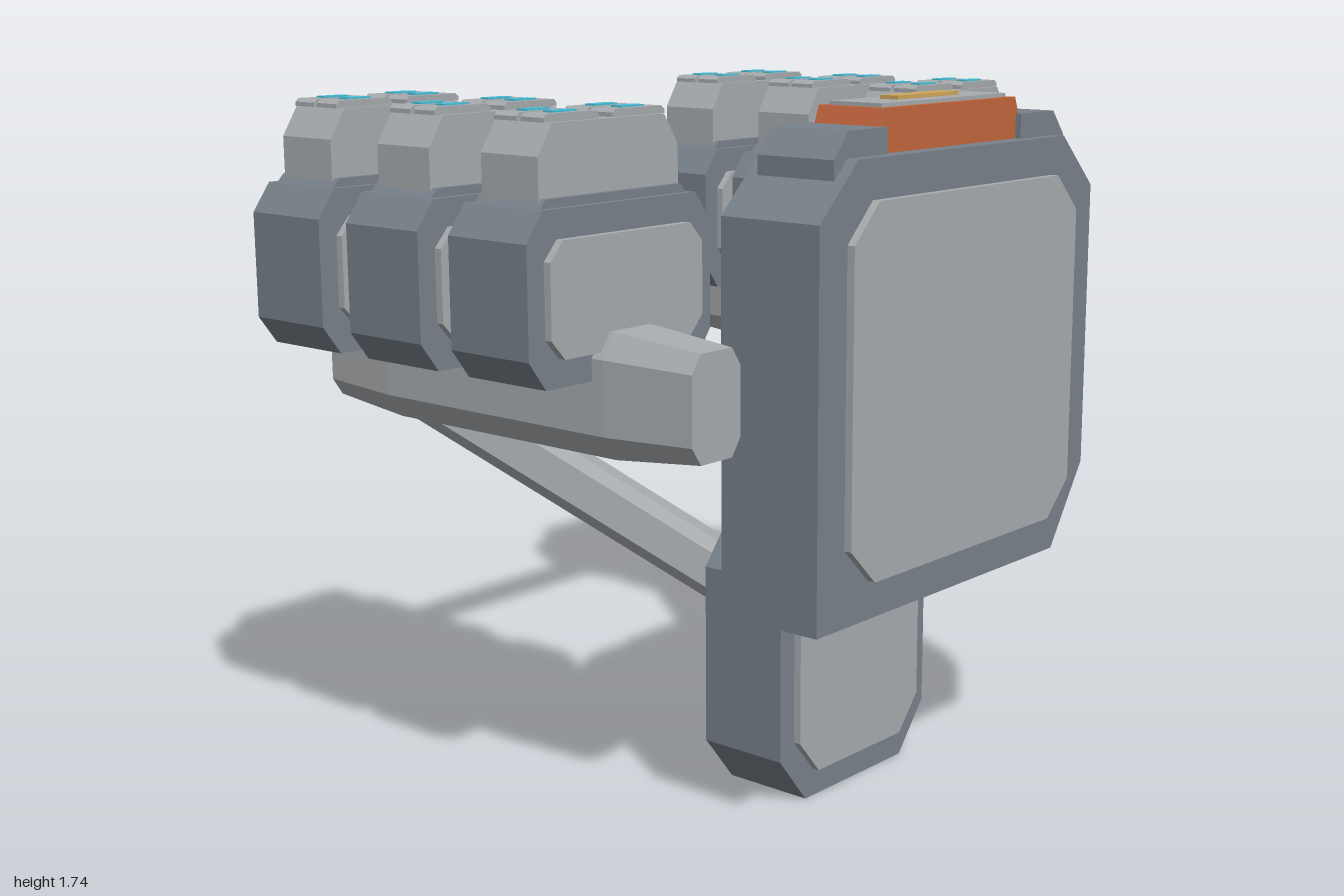
import * as THREE from 'three';

const mat = (name, color) => {
  const m = new THREE.MeshStandardMaterial({ color });
  m.name = name;
  return m;
};
const hull = mat('slate hull', 0x79828b);
const plate = mat('light grey plate', 0xa9adb0);
const orange = mat('burnt orange', 0xc4673d);
const cyan = mat('cyan light', 0x48bfd8);
const gold = mat('gold hatch', 0xd0a85c);

const CX = -0.025; // symmetry plane of the structure

// Outline with corner cuts [dx, dy] in the order top left, top right, bottom right, bottom left
function outline(x0, x1, y0, y1, [tl, tr, br, bl]) {
  const pts = [
    [x0 + bl[0], y0], [x1 - br[0], y0], [x1, y0 + br[1]], [x1, y1 - tr[1]],
    [x1 - tr[0], y1], [x0 + tl[0], y1], [x0, y1 - tl[1]], [x0, y0 + bl[1]],
  ];
  const out = pts.filter((p, i) => {
    const q = pts[(i + 1) % 8];
    return Math.hypot(p[0] - q[0], p[1] - q[1]) > 1e-5;
  });
  return new THREE.Shape(out.map(p => new THREE.Vector2(...p)));
}
const all = (cx, cy) => Array(4).fill([cx, cy]);
const topCut = (cx, cy) => [[cx, cy], [cx, cy], [0, 0], [0, 0]];
const rightCut = (cx, cy) => [[0, 0], [cx, cy], [cx, cy], [0, 0]];

// Prism with a cut outline, running along z
function prism(parent, name, material, x0, x1, y0, y1, z0, z1, cuts = all(0, 0)) {
  const g = new THREE.ExtrudeGeometry(outline(x0, x1, y0, y1, cuts), { depth: z1 - z0, bevelEnabled: false });
  g.translate(0, 0, z0);
  const m = new THREE.Mesh(g, material);
  m.name = name;
  parent.add(m);
  return m;
}

// Eight-sided beam from a to b, narrowing over the last stretch at each end
function beam(parent, name, material, a, b, w, h, taper = 0.02, run = 0.1) {
  const A = new THREE.Vector3(...a), B = new THREE.Vector3(...b);
  const len = A.distanceTo(B);
  const g = new THREE.ExtrudeGeometry(outline(-w / 2, w / 2, -h / 2, h / 2, all(w * 0.19, h * 0.2)), {
    depth: len - 2 * run, bevelThickness: run, bevelSize: taper, bevelOffset: -taper, bevelSegments: 1,
  });
  g.translate(0, 0, run);
  const m = new THREE.Mesh(g, material);
  m.name = name;
  m.position.copy(A);
  m.lookAt(B);
  parent.add(m);
}

// Armoured block: body, front and back plates, light strip on its +x side
function block(name, o) {
  const g = new THREE.Group();
  g.name = name;
  const { w, h, d, side: s, back } = o;
  prism(g, 'body', hull, -w, w, -h, h, -d, d, o.cuts);
  const [fx, fy] = o.face;
  prism(g, 'frontPlate', plate, -fx, fx, -fy, fy, d, d + 0.02, all(...o.faceCut));
  for (let i = 0; i < back.n; i++) {
    const x = (i - (back.n - 1) / 2) * back.pitch;
    prism(g, 'backPlate', plate, x - back.w, x + back.w, back.y0, back.y1, -d - 0.035, -d, all(back.w * 0.35, 0.04));
  }
  // side light assembly
  const t = s.out;
  prism(g, 'sideBacking', plate, w, w + t * 0.5, -s.backing, s.backing, -s.zb, s.zb, rightCut(t * 0.3, s.backing * 0.16));
  for (const k of [-1, 1]) {
    const zc = k * (s.zr + s.zl) / 2, zh = (s.zr - s.zl) / 2;
    prism(g, 'sideRail', hull, w, w + t * 0.8, -s.rail, s.rail, zc - zh, zc + zh, rightCut(t * 0.2, 0.03));
  }
  prism(g, 'sideLight', cyan, w, w + t, -s.light, s.light, -s.zl, s.zl);
  prism(g, 'sideMarker', orange, w, w + t * 0.85, -s.rail, -s.light, -s.zl * 0.7, s.zl * 0.7);
  g.position.set(...o.at);
  return g;
}

// Orange roof cap between two shoulders, with a hatch
function roofCap(g, h, c) {
  for (const k of [-1, 1]) {
    const x0 = k < 0 ? -c.shoulder : c.cap - 0.03, x1 = k < 0 ? -c.cap + 0.03 : c.shoulder;
    const outer = [0.05, 0.06], no = [0, 0];
    prism(g, 'shoulder', hull, x0, x1, h - 0.08, h + c.step, -c.z - 0.015, c.z + 0.015,
      k < 0 ? [outer, no, no, no] : [no, outer, no, no]);
  }
  prism(g, 'roofCap', orange, -c.cap, c.cap, h, h + c.top, -c.z, c.z, topCut(0.035, c.top * 0.9));
  prism(g, 'roofPlate', plate, -c.cap + 0.05, c.cap - 0.05, h + c.top, h + c.top + 0.009, -c.z + 0.018, c.z - 0.018);
  prism(g, 'roofHatch', gold, -c.hatch, c.hatch, h + c.top + 0.009, h + c.top + 0.018, -c.hz, c.hz);
}

// Raised head on a small block, with four lit vents
function podHead(g, h) {
  prism(g, 'collar', hull, -0.245, 0.245, h - 0.04, h + 0.02, -0.103, 0.103, topCut(0.03, 0.03));
  prism(g, 'head', plate, -0.223, 0.223, h, h + 0.18, -0.088, 0.088, topCut(0.045, 0.07));
  for (const x of [-0.107, 0.107]) for (const z of [-0.041, 0.041]) {
    prism(g, 'vent', plate, x - 0.085, x + 0.085, h + 0.18, h + 0.198, z - 0.035, z + 0.035, topCut(0.01, 0.008));
    prism(g, 'ventLight', cyan, x - 0.037, x + 0.037, h + 0.198, h + 0.202, z - 0.015, z + 0.015);
  }
}

export function createModel() {
  const model = new THREE.Group();
  model.name = 'station';

  // Large front block; its lower right corner stays square
  const main = block('mainBlock', {
    at: [CX, 1.097, 0.56], w: 0.553, h: 0.525, d: 0.138,
    cuts: [[0.135, 0.13], [0.135, 0.13], [0.135, 0.205], [0, 0]],
    face: [0.455, 0.433], faceCut: [0.09, 0.09],
    back: { n: 3, pitch: 0.295, w: 0.105, y0: -0.4, y1: 0.35 },
    side: { out: 0.082, backing: 0.38, rail: 0.305, light: 0.17, zb: 0.105, zr: 0.085, zl: 0.038 },
  });
  roofCap(main, 0.525, { shoulder: 0.465, cap: 0.3, step: 0.06, top: 0.1, z: 0.092, hatch: 0.122, hz: 0.025 });
  model.add(main);

  // Lower block
  const lower = block('lowerBlock', {
    at: [CX, 0.352, 0.27], w: 0.298, h: 0.352, d: 0.12,
    cuts: all(0.1, 0.125),
    face: [0.245, 0.28], faceCut: [0.075, 0.09],
    back: { n: 3, pitch: 0.15, w: 0.065, y0: -0.225, y1: 0.23 },
    side: { out: 0.048, backing: 0.26, rail: 0.2, light: 0.115, zb: 0.085, zr: 0.073, zl: 0.034 },
  });
  roofCap(lower, 0.352, { shoulder: 0.235, cap: 0.165, step: 0.05, top: 0.072, z: 0.082, hatch: 0.065, hz: 0.02 });
  model.add(lower);

  for (const k of [-1, 1]) {
    // Three pods on each side beam
    for (const z of [0.123, -0.222, -0.565]) {
      const pod = block('pod', {
        at: [CX + k * 0.682, 1.328, z], w: 0.295, h: 0.195, d: 0.122,
        cuts: all(0.05, 0.068),
        face: [0.245, 0.13], faceCut: [0.04, 0.045],
        back: k < 0 ? { n: 3, pitch: 0.145, w: 0.062, y0: -0.125, y1: 0.125 }
          : { n: 2, pitch: 0.2, w: 0.08, y0: -0.125, y1: 0.125 },
        side: { out: 0.046, backing: 0.152, rail: 0.125, light: 0.085, zb: 0.088, zr: 0.078, zl: 0.036 },
      });
      podHead(pod, 0.195);
      model.add(pod);
    }
    // Side beam and its struts to the two centre blocks
    const bx = CX + k * 0.683;
    beam(model, 'sideBeam', plate, [bx, 1.097, -0.683], [bx, 1.097, 0.52], 0.205, 0.29, 0.022, 0.24);
    beam(model, 'rearStrut', plate, [CX + k * 0.1, 0.46, 0.17], [CX + k * 0.67, 1.03, -0.5], 0.13, 0.14, 0.01, 0.03);
    beam(model, 'frontStrut', plate, [bx - k * 0.03, 1.06, 0.2], [CX + k * 0.22, 1.05, 0.44], 0.13, 0.22, 0.01, 0.03);
  }

  // Rear cross bar
  beam(model, 'crossBar', orange, [CX - 0.69, 1.095, -0.663], [CX + 0.69, 1.095, -0.663], 0.066, 0.15, 0.005, 0.02);
  return model;
}
